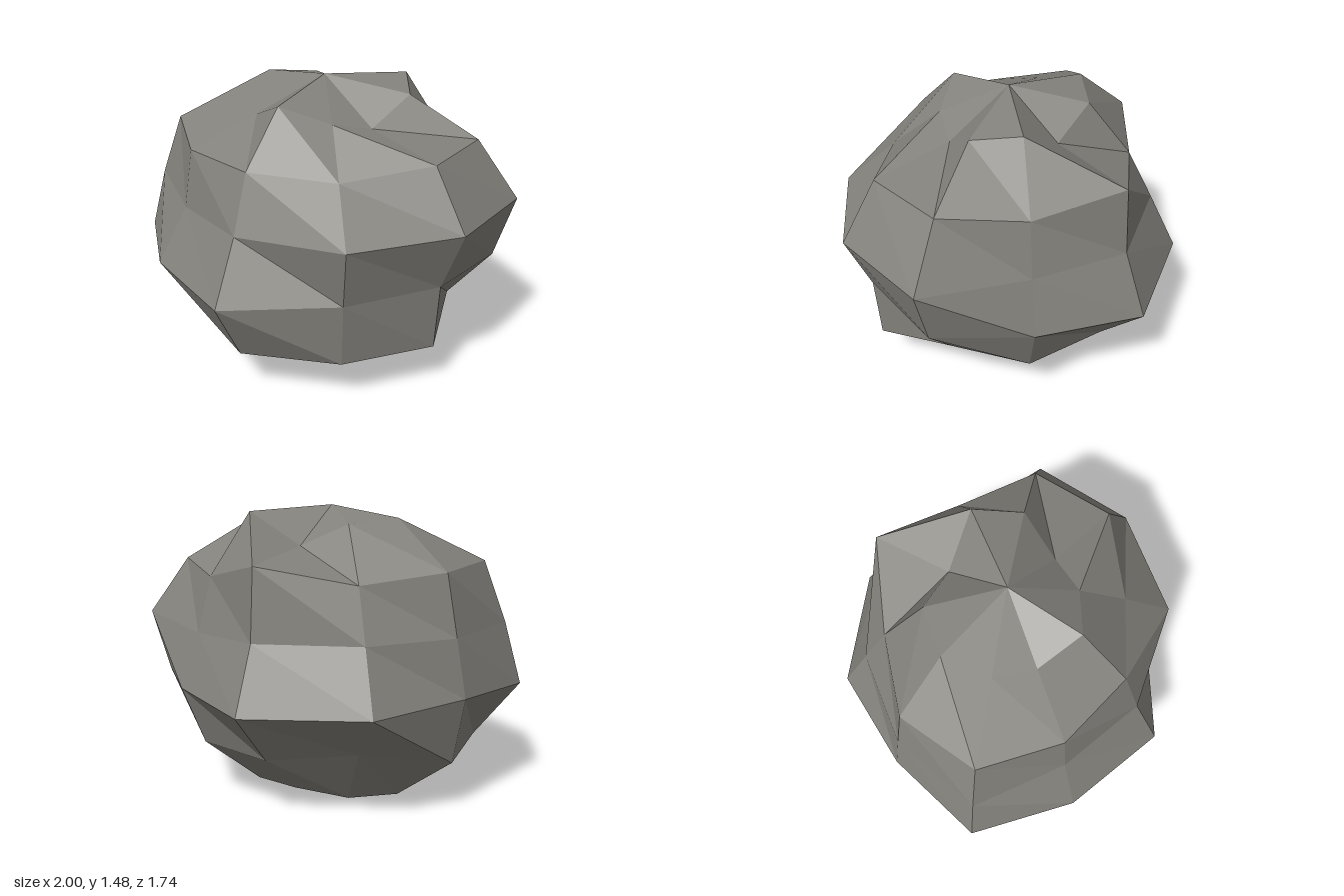
import * as THREE from 'three';

// Radius of the boulder on each ring, top to bottom; ten points per ring, starting at -x and going by +z
const RINGS = [
  [1.011],
  [0.91, 0.86, 1.01, 0.88, 0.805, 1.005, 1.08, 0.835, 1.0, 1.037],
  [1.018, 0.925, 0.925, 0.84, 0.99, 1.005, 0.88, 1.07, 0.86, 0.965],
  [0.935, 0.79, 0.86, 0.97, 0.995, 1.026, 0.78, 0.887, 0.84, 0.84],
  [1.026, 0.952, 1.04, 0.885, 0.863, 0.924, 0.88, 1.042, 1.01, 0.9],
  [0.98, 0.905, 1.06, 1.045, 1.047, 0.87, 0.945, 0.95, 0.88, 1.035],
  [1.09, 0.8, 0.93, 0.995, 0.94, 0.96, 1.01, 1.0, 1.05, 1.08],
  [0.9],
];
const SIDES = 10;

export function createModel() {
  const stone = new THREE.MeshStandardMaterial({ color: 0x84827c });
  stone.name = 'stone grey';

  // Low-poly sphere with every point pushed in or out along its own ray
  const sphere = new THREE.SphereGeometry(1, SIDES, RINGS.length - 1);
  const pos = sphere.attributes.position;
  const p = new THREE.Vector3();
  for (let i = 0; i < pos.count; i++) {
    const ring = RINGS[Math.floor(i / (SIDES + 1))];
    const radius = ring[(i % (SIDES + 1)) % ring.length];
    p.fromBufferAttribute(pos, i).multiplyScalar(radius);
    pos.setXYZ(i, p.x, p.y, p.z);
  }

  // Squash into a boulder and rest it on the ground
  sphere.scale(1, 0.745, 0.9);
  sphere.computeBoundingBox();
  sphere.translate(0, -sphere.boundingBox.min.y, 0);

  // Separate faces give hard facets
  const facets = sphere.toNonIndexed();
  facets.computeVertexNormals();

  const boulder = new THREE.Mesh(facets, stone);
  boulder.name = 'boulder';
  const group = new THREE.Group();
  group.name = 'rock';
  group.add(boulder);
  return group;
}
